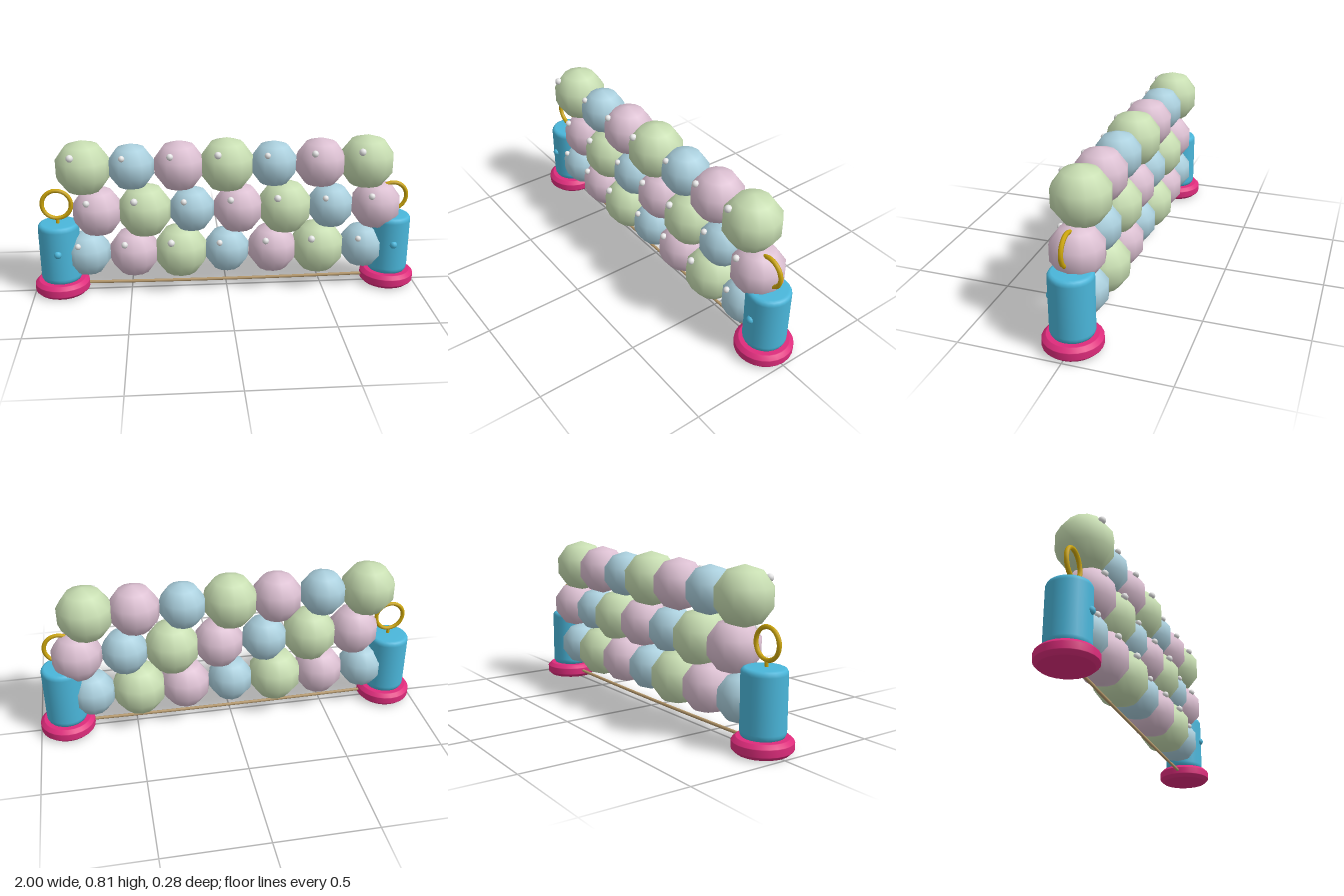
import * as THREE from 'three';

const mat = (name, color) => {
  const m = new THREE.MeshStandardMaterial({ color });
  m.name = name;
  return m;
};

export function createModel() {
  const model = new THREE.Group();
  model.name = 'balloonWall';

  const green = mat('paleGreen', 0xc8deb2);
  const blue = mat('paleBlue', 0xabd0de);
  const pink = mat('palePink', 0xdcc0d2);
  const shine = mat('shineWhite', 0xeeeeee);
  const teal = mat('barrelBlue', 0x4ab6da);
  const magenta = mat('baseMagenta', 0xde2c7c);
  const gold = mat('ringGold', 0xcfa80c);
  const tan = mat('ropeTan', 0xb89a6c);

  const add = (parent, name, geometry, material, x = 0, y = 0, z = 0) => {
    const mesh = new THREE.Mesh(geometry, material);
    mesh.name = name;
    mesh.position.set(x, y, z);
    parent.add(mesh);
    return mesh;
  };
  const lathe = (points, sides) =>
    new THREE.LatheGeometry(points.map(([r, y]) => new THREE.Vector2(r, y)), sides);

  // Balloons: three rows of seven, low-poly but smooth shaded
  const kinds = [
    { name: 'greenBalloon', material: green, r: 0.142 },
    { name: 'blueBalloon', material: blue, r: 0.12 },
    { name: 'pinkBalloon', material: pink, r: 0.131 },
  ];
  for (const k of kinds) k.geometry = new THREE.SphereGeometry(k.r, 12, 5);
  const rows = [
    { y: 0.21, x: -0.717, first: 1 },
    { y: 0.437, x: -0.657, first: 2 },
    { y: 0.669, x: -0.717, first: 0 },
  ];
  const shineGeometry = new THREE.SphereGeometry(1, 10, 8);
  for (const row of rows) {
    for (let i = 0; i < 7; i++) {
      const k = kinds[(row.first + i) % 3];
      const x = row.x + i * 0.239;
      add(model, k.name, k.geometry, k.material, x, row.y);
      // Small bright bead on the upper left of the front
      add(model, 'shine', shineGeometry, shine, x - 0.35 * k.r, row.y + 0.56 * k.r, 0.72 * k.r)
        .scale.setScalar(0.13 * k.r);
    }
  }

  // End posts: base disc, weight barrel, button, stem and ring
  const baseGeometry = lathe([[0, 0], [0.118, 0], [0.122, 0.001], [0.139, 0.017],
    [0.14, 0.02], [0.14, 0.052], [0.139, 0.055], [0.122, 0.071], [0.118, 0.072], [0, 0.072]], 24);
  const barrelGeometry = lathe([[0, 0.068], [0.085, 0.07], [0.097, 0.075], [0.103, 0.088],
    [0.104, 0.1], [0.104, 0.355], [0.103, 0.366], [0.097, 0.376], [0.085, 0.381], [0, 0.381]], 24);
  for (const side of [-1, 1]) {
    const post = new THREE.Group();
    post.name = side > 0 ? 'leftPost' : 'rightPost';
    post.position.x = side * 0.86;
    model.add(post);
    add(post, 'base', baseGeometry, magenta);
    add(post, 'barrel', barrelGeometry, teal);
    add(post, 'button', new THREE.SphereGeometry(0.02, 12, 8), teal, 0, 0.242, 0.1);
    add(post, 'ringStem', new THREE.CylinderGeometry(0.009, 0.009, 0.03, 8), gold, 0, 0.392, 0.01);
    add(post, 'ring', new THREE.TorusGeometry(0.073, 0.011, 6, 28), gold, 0, 0.482, 0.012);
  }

  // Slightly sagging rope between the bases
  const rope = new THREE.QuadraticBezierCurve3(
    new THREE.Vector3(-0.76, 0.039, 0),
    new THREE.Vector3(0, 0.027, 0),
    new THREE.Vector3(0.76, 0.039, 0));
  add(model, 'rope', new THREE.TubeGeometry(rope, 12, 0.008, 6), tan);

  return model;
}
